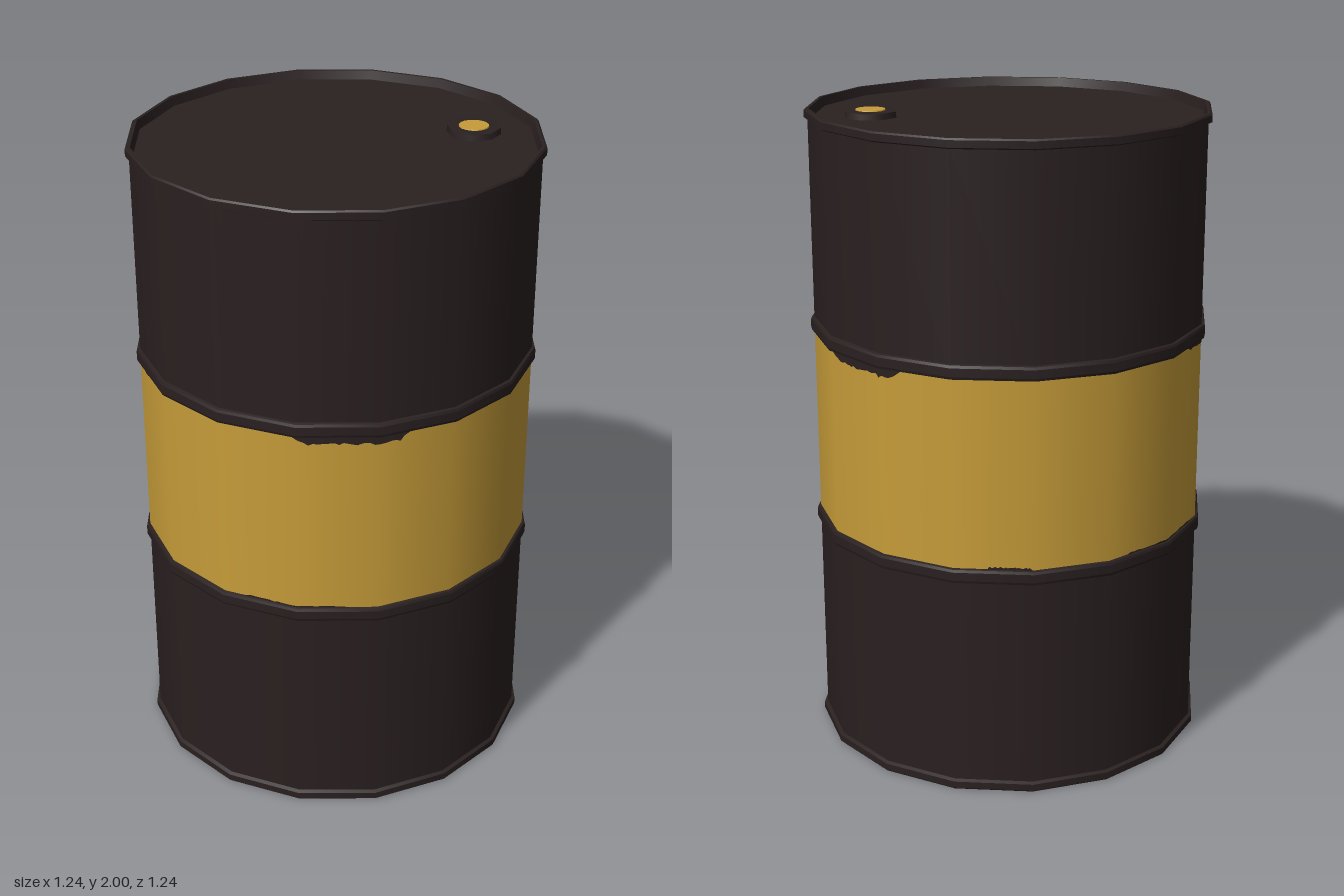
import * as THREE from 'three';
import { mergeGeometries } from 'three/addons/utils/BufferGeometryUtils.js';

const SIDES = 16;
const R = 0.609;       // wall radius
const R_OUT = 0.62;    // hoop and rim radius
const BAND_LOW = 0.727, BAND_HIGH = 1.315;
const RECESS = 0.028;  // depth of lid and base inside their rims

const material = (name, color) => {
  const m = new THREE.MeshStandardMaterial({ color });
  m.name = name;
  return m;
};

// Smooth around the axis, sharp along the profile: one lathe per profile segment.
function turned(profile, sides = SIDES, start = 0) {
  const points = profile.map(([r, y]) => new THREE.Vector2(r, y));
  return mergeGeometries(points.slice(1).map((p, i) =>
    new THREE.LatheGeometry([points[i], p], sides, start)));
}

// Radius of the many-sided wall at an angle, so thin plates can follow its flat faces.
function wallRadius(angle) {
  const step = (Math.PI * 2) / SIDES;
  const local = angle - Math.floor(angle / step) * step - step / 2;
  return R * Math.cos(step / 2) / Math.cos(local);
}

function seeded(seed) {
  return () => (seed = (seed * 16807) % 2147483647) / 2147483647;
}

// Ragged strip of worn paint hanging from (or rising off) a straight edge.
function wornStrip(from, to, edgeY, depth, seed) {
  const random = seeded(seed);
  const steps = 28, positions = [], normals = [], index = [];
  for (let i = 0; i <= steps; i++) {
    const t = i / steps, a = from + (to - from) * t, r = wallRadius(a) + 0.002;
    const s = Math.sin(a), c = Math.cos(a);
    const reach = depth * Math.min(1, 3 * Math.sin(Math.PI * t)) * (0.65 + 0.35 * random());
    const ys = [edgeY, edgeY + reach].sort((p, q) => p - q);
    ys.forEach((y) => { positions.push(r * s, y, r * c); normals.push(s, 0, c); });
    if (i < steps) {
      const k = i * 2;
      index.push(k, k + 2, k + 1, k + 1, k + 2, k + 3);
    }
  }
  const g = new THREE.BufferGeometry();
  g.setAttribute('position', new THREE.Float32BufferAttribute(positions, 3));
  g.setAttribute('normal', new THREE.Float32BufferAttribute(normals, 3));
  g.setIndex(index);
  return g;
}

export function createModel() {
  const group = new THREE.Group();
  const dark = material('dark brown paint', 0x2a2020);
  const yellow = material('yellow paint', 0xc69c39);
  const add = (name, geometry, mat, x = 0, y = 0) => {
    const mesh = new THREE.Mesh(geometry, mat);
    mesh.name = name;
    mesh.position.set(x, y, 0);
    group.add(mesh);
  };

  // Walls
  add('lowerWall', turned([[R, 0.02], [R, BAND_LOW]]), dark);
  add('paintedBand', turned([[R, BAND_LOW], [R, BAND_HIGH]]), yellow);
  add('upperWall', turned([[R, BAND_HIGH], [R, 1.98]]), dark);

  // Rolling hoops around the middle
  for (const [name, y] of [['lowerHoop', 0.708], ['upperHoop', 1.335]]) {
    add(name, turned([[R - 0.002, -0.024], [R_OUT - 0.003, -0.021], [R_OUT, -0.013],
      [R_OUT, 0.013], [R_OUT - 0.003, 0.021], [R - 0.002, 0.024]]), dark, 0, y);
  }

  // Rims, mirrored top and bottom, with sunken lid and base
  const rim = [[R - 0.002, 1.968], [R_OUT, 1.974], [R_OUT, 1.995], [0.615, 2],
    [0.605, 2], [0.598, 2 - RECESS]];
  const lid = [[0.598, 2 - RECESS], [0, 2 - RECESS]];
  const mirrored = (profile) => profile.map(([r, y]) => [r, 2 - y]).reverse();
  add('topRim', turned(rim), dark);
  add('lid', turned(lid), dark);
  add('bottomRim', turned(mirrored(rim)), dark);
  add('base', turned(mirrored(lid)), dark);

  // Filler plug: eight-sided collar and yellow cap
  add('plugCollar', turned([[0.082, 0], [0.08, 0.018], [0.046, 0.02]], 8, Math.PI / 8), dark, 0.42, 2 - RECESS);
  add('plugCap', turned([[0.046, 0.02], [0.045, 0.023], [0, 0.023]], 16), yellow, 0.42, 2 - RECESS);

  // Worn paint on the band: start angle, end angle, edge height, depth
  const wear = [
    [-0.42, 0.17, BAND_HIGH, -0.031], [1.97, 2.48, BAND_HIGH, -0.031], [-2.2, -1.35, BAND_HIGH, -0.016],
    [-0.72, -0.1, BAND_LOW, 0.01], [1.22, 1.42, BAND_LOW, 0.008],
    [3.6, 4.3, BAND_LOW, 0.01], [2.9, 3.15, BAND_LOW, 0.014],
    [1.305, 1.325, 1.02, 0.02],
  ];
  wear.forEach(([from, to, y, depth], i) =>
    add('wornPaint' + (i + 1), wornStrip(from, to, y, depth, 11 + i * 37), dark));

  return group;
}
